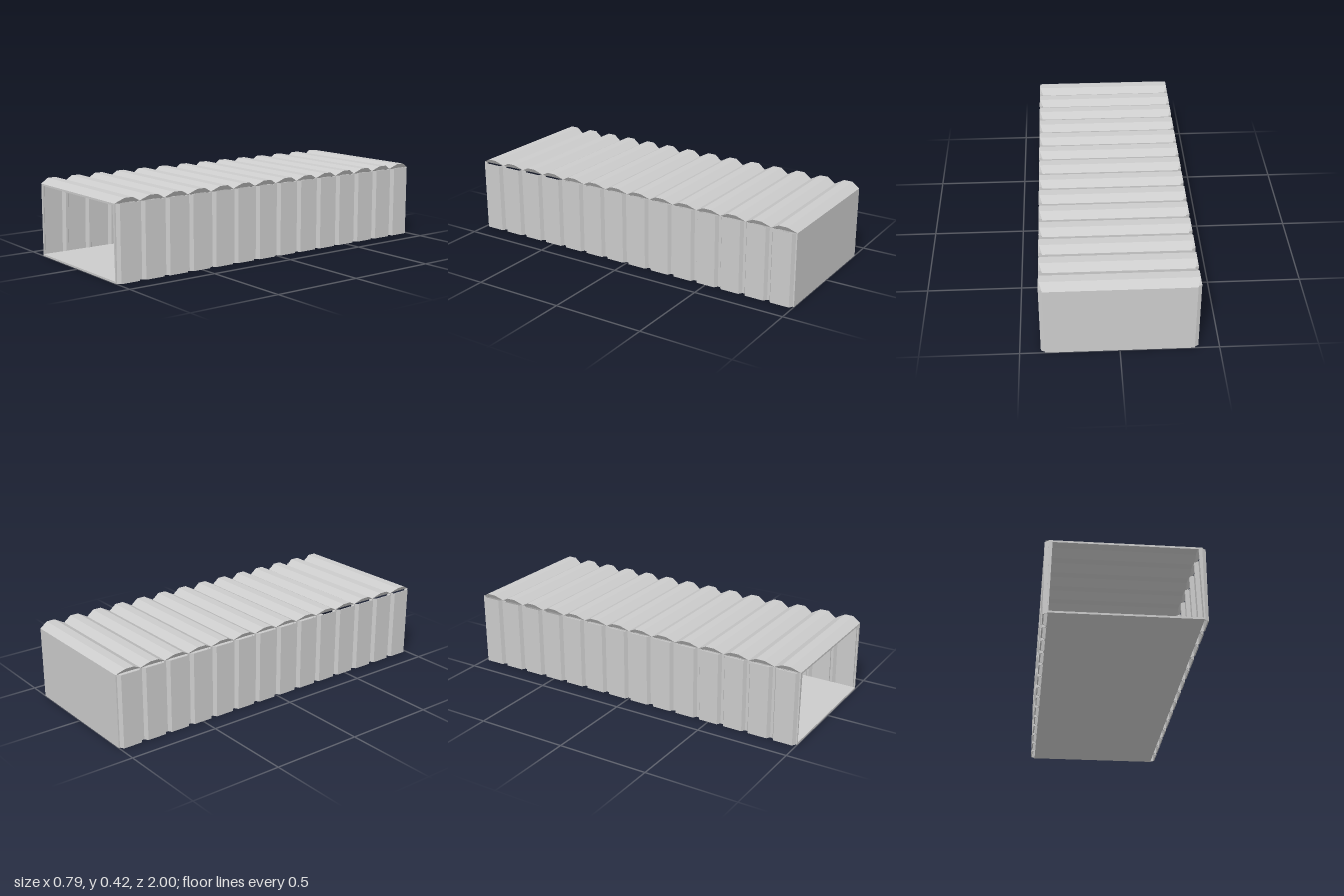
import * as THREE from 'three';

const RIBS = 14, PITCH = 2 / RIBS;
const WALL_TOP = 0.395;
const material = new THREE.MeshStandardMaterial({ color: 0xcccccc, flatShading: true, side: THREE.DoubleSide });

// Joins cross-sections (counterclockwise [x, y] loops) placed from front to back
function loft(sections) {
  const n = sections[0].points.length, position = [], index = [];
  for (const { z, points } of sections) for (const [x, y] of points) position.push(x, y, z);
  for (let i = 0; i < sections.length - 1; i++) {
    for (let j = 0; j < n; j++) {
      const k = (j + 1) % n, a = i * n, b = a + n;
      index.push(a + j, b + j, b + k, a + j, b + k, a + k);
    }
  }
  const last = (sections.length - 1) * n;
  for (let j = 1; j < n - 1; j++) index.push(0, j, j + 1, last, last + j + 1, last + j);
  const geometry = new THREE.BufferGeometry();
  geometry.setAttribute('position', new THREE.Float32BufferAttribute(position, 3));
  geometry.setIndex(index);
  const flat = geometry.toNonIndexed();
  flat.computeVertexNormals();
  return flat;
}

// Repeats a one-rib profile of [distance from rib start, height 0..1] along the length
function corrugation(profile) {
  const stops = [];
  for (let i = 0; i < RIBS; i++) {
    for (const [d, h] of profile) stops.push({ z: 1 - i * PITCH - d, h });
  }
  return stops;
}

function addMesh(group, name, geometry) {
  const mesh = new THREE.Mesh(geometry, material);
  mesh.name = name;
  group.add(mesh);
  return mesh;
}

export function createModel() {
  const group = new THREE.Group();
  group.name = 'corrugatedContainer';

  // Side walls: wide flat panels parted by narrow grooves, thicker toward the top
  const wallStops = corrugation([[0, 0], [0.007, 0], [0.019, 1], [PITCH - 0.019, 1], [PITCH - 0.007, 0]]);
  wallStops.push({ z: -1, h: 0 });
  for (const side of [1, -1]) {
    const sections = wallStops.map(({ z, h }) => {
      const x = 0.375 + 0.02 * h;
      const points = [[x - 0.006, 0], [x, 0], [x, WALL_TOP], [x - 0.018, 0.388]].map(([px, py]) => [side * px, py]);
      return { z, points: side > 0 ? points : points.reverse() };
    });
    addMesh(group, side > 0 ? 'leftWall' : 'rightWall', loft(sections));
  }

  // Roof: three-facet ridges across the width with undercut ends
  const roofStops = corrugation([[0, 0], [PITCH / 3, 1], [PITCH * 2 / 3, 1]]);
  roofStops.push({ z: -1, h: 0 });
  addMesh(group, 'roof', loft(roofStops.map(({ z, h }) => {
    const w = 0.375 + 0.015 * h, y = WALL_TOP + 0.025 * h;
    return {
      z,
      points: [[-0.36, y - 0.01], [0.36, y - 0.01], [0.373, WALL_TOP], [w, y], [-w, y], [-0.373, WALL_TOP]],
    };
  })));

  // Floor and closed back end; the front stays open
  addMesh(group, 'floor', new THREE.BoxGeometry(0.744, 0.01, 2)).position.y = 0.005;
  addMesh(group, 'backWall', new THREE.BoxGeometry(0.75, WALL_TOP, 0.01)).position.set(0, WALL_TOP / 2, -0.995);

  return group;
}
